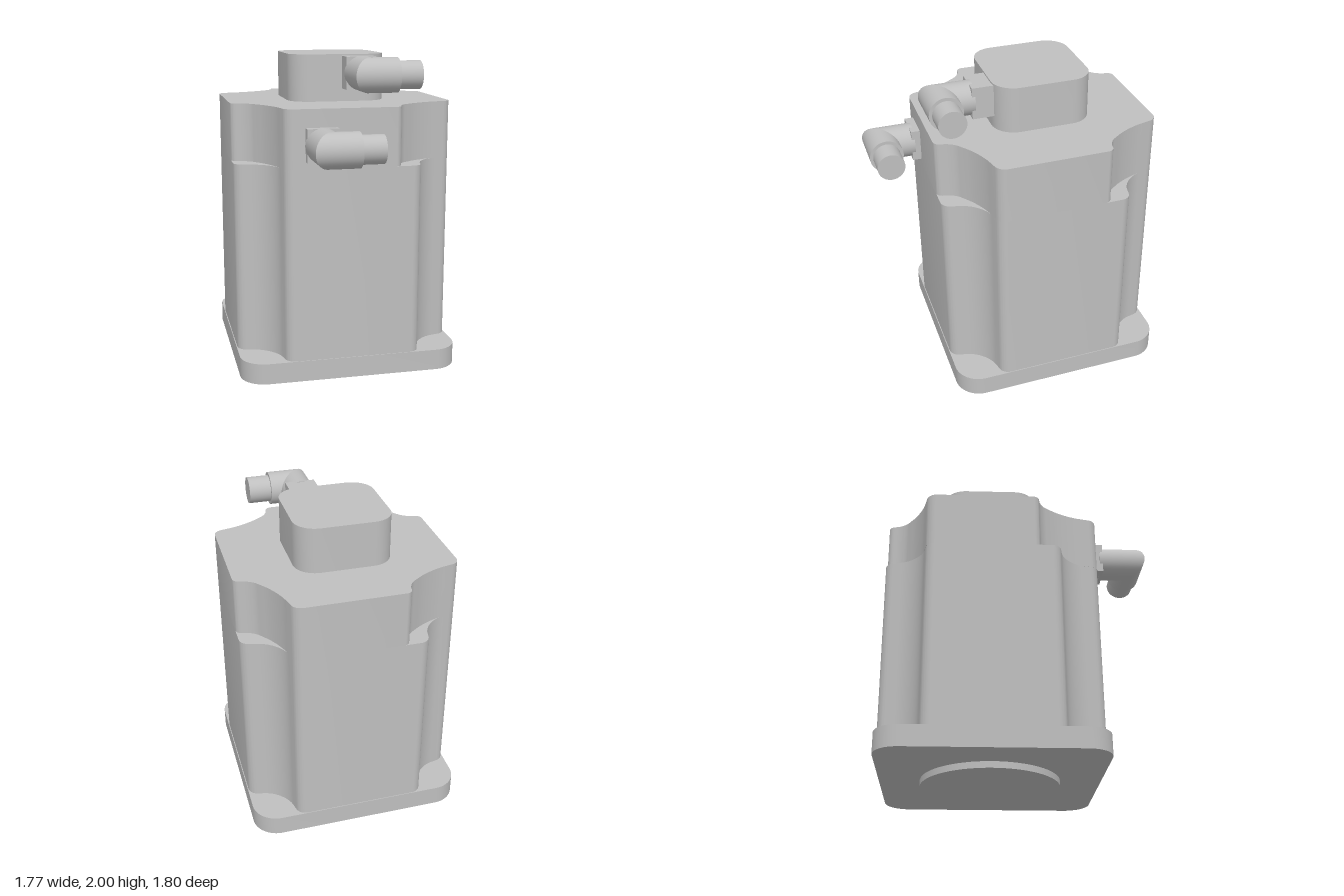
import * as THREE from 'three';
import { toCreasedNormals } from 'three/addons/utils/BufferGeometryUtils.js';

const grey = new THREE.MeshStandardMaterial({ color: 0xbfbfbf });
grey.name = 'grey metal';

// Closed outline from [x, z, cornerRadius] points, each corner rounded
function roundedOutline(points) {
  const shape = new THREE.Shape();
  const n = points.length;
  const at = (i) => new THREE.Vector2(points[(i + n) % n][0], points[(i + n) % n][1]);
  for (let i = 0; i < n; i++) {
    const p = at(i);
    const r = points[i][2];
    const dirIn = at(i - 1).sub(p).normalize();
    const dirOut = at(i + 1).sub(p).normalize();
    const along = (dir, d) => p.clone().addScaledVector(dir, d);
    const a = along(dirIn, r), b = along(dirOut, r);
    const c1 = along(dirIn, r * 0.45), c2 = along(dirOut, r * 0.45);
    if (i === 0) shape.moveTo(a.x, a.y);
    else shape.lineTo(a.x, a.y);
    shape.bezierCurveTo(c1.x, c1.y, c2.x, c2.y, b.x, b.y);
  }
  shape.closePath();
  return shape;
}

// Repeat one corner's points around the four corners
function fourCorners(corner) {
  const points = [];
  for (let k = 0; k < 4; k++) {
    for (const [px, pz, r] of corner) {
      let x = px, z = pz;
      for (let j = 0; j < k; j++) [x, z] = [-z, x];
      points.push([x, z, r]);
    }
  }
  return points;
}

function mesh(name, geometry, parent) {
  const m = new THREE.Mesh(geometry, grey);
  m.name = name;
  parent.add(m);
  return m;
}

// Upright prism between heights y0 and y1
function prism(name, corner, y0, y1, parent) {
  const geo = new THREE.ExtrudeGeometry(roundedOutline(fourCorners(corner)), {
    depth: y1 - y0, bevelEnabled: false, curveSegments: 12,
  });
  geo.rotateX(Math.PI / 2).translate(0, y1, 0);
  return mesh(name, toCreasedNormals(geo, 0.5), parent);
}

// Right-angle plug; its origin is where the two axes cross
function elbowConnector(name, stubLength) {
  const g = new THREE.Group();
  g.name = name;
  const R = 0.105, inLength = 0.195, outLength = 0.17;

  // Leg running out from the housing, mitred at 45 degrees
  const inLeg = new THREE.CylinderGeometry(R, R, inLength, 40);
  inLeg.rotateX(Math.PI / 2).translate(0, 0, -inLength / 2);
  let pos = inLeg.attributes.position;
  for (let i = 0; i < pos.count; i++) {
    if (pos.getZ(i) > -0.001) pos.setZ(i, -pos.getX(i));
  }
  mesh('elbowInnerLeg', inLeg, g);

  // Leg running sideways, mitred to match
  const outLeg = new THREE.CylinderGeometry(R, R, outLength, 40);
  outLeg.rotateZ(-Math.PI / 2).translate(outLength / 2, 0, 0);
  pos = outLeg.attributes.position;
  for (let i = 0; i < pos.count; i++) {
    if (pos.getX(i) < 0.001) pos.setX(i, -pos.getZ(i));
  }
  mesh('elbowOuterLeg', outLeg, g);

  // Narrow cable end
  const tip = new THREE.CylinderGeometry(0.085, 0.085, 0.2, 40);
  tip.rotateZ(-Math.PI / 2).translate(0.21, 0, 0);
  mesh('cableEnd', tip, g);

  // Square socket joining the plug to the housing
  const stub = new THREE.BoxGeometry(0.19, 0.2, stubLength);
  stub.translate(0, 0, -inLength - stubLength / 2 + 0.02);
  mesh('socket', stub, g);
  return g;
}

export function createModel() {
  const model = new THREE.Group();
  model.name = 'servoMotor';

  // The whole motor stands turned about its axis
  const motor = new THREE.Group();
  motor.name = 'motor';
  motor.rotation.y = -Math.PI / 6;
  motor.position.z = -0.02;
  model.add(motor);

  // Locating disc and mounting flange
  const disc = new THREE.CylinderGeometry(0.437, 0.437, 0.05, 64);
  mesh('locatingDisc', disc.translate(0, 0.025, 0), motor);
  prism('flange', [[-0.69, 0.69, 0.16]], 0.04, 0.17, motor);

  // Housing with scooped corners, wider on one side near the top
  prism('lowerHousing', [
    [-0.41, 0.685, 0.05], [-0.46, 0.46, 0.13], [-0.685, 0.41, 0.05],
  ], 0.17, 1.355, motor);
  prism('upperHousing', [
    [-0.41, 0.685, 0.05], [-0.46, 0.47, 0.1], [-0.583, 0.302, 0.05], [-0.685, 0.285, 0.035],
  ], 1.355, 1.71, motor);

  // Encoder cap
  const cap = prism('encoderCap', [[-0.305, 0.305, 0.14]], 1.71, 2, motor);
  cap.position.set(-0.005, 0, -0.01);

  // Power and signal plugs
  const upper = elbowConnector('upperConnector', 0.15);
  upper.position.set(0.105, 1.89, 0.597);
  const lower = elbowConnector('lowerConnector', 0.07);
  lower.position.set(-0.202, 1.5, 0.915);
  motor.add(upper, lower);

  return model;
}
